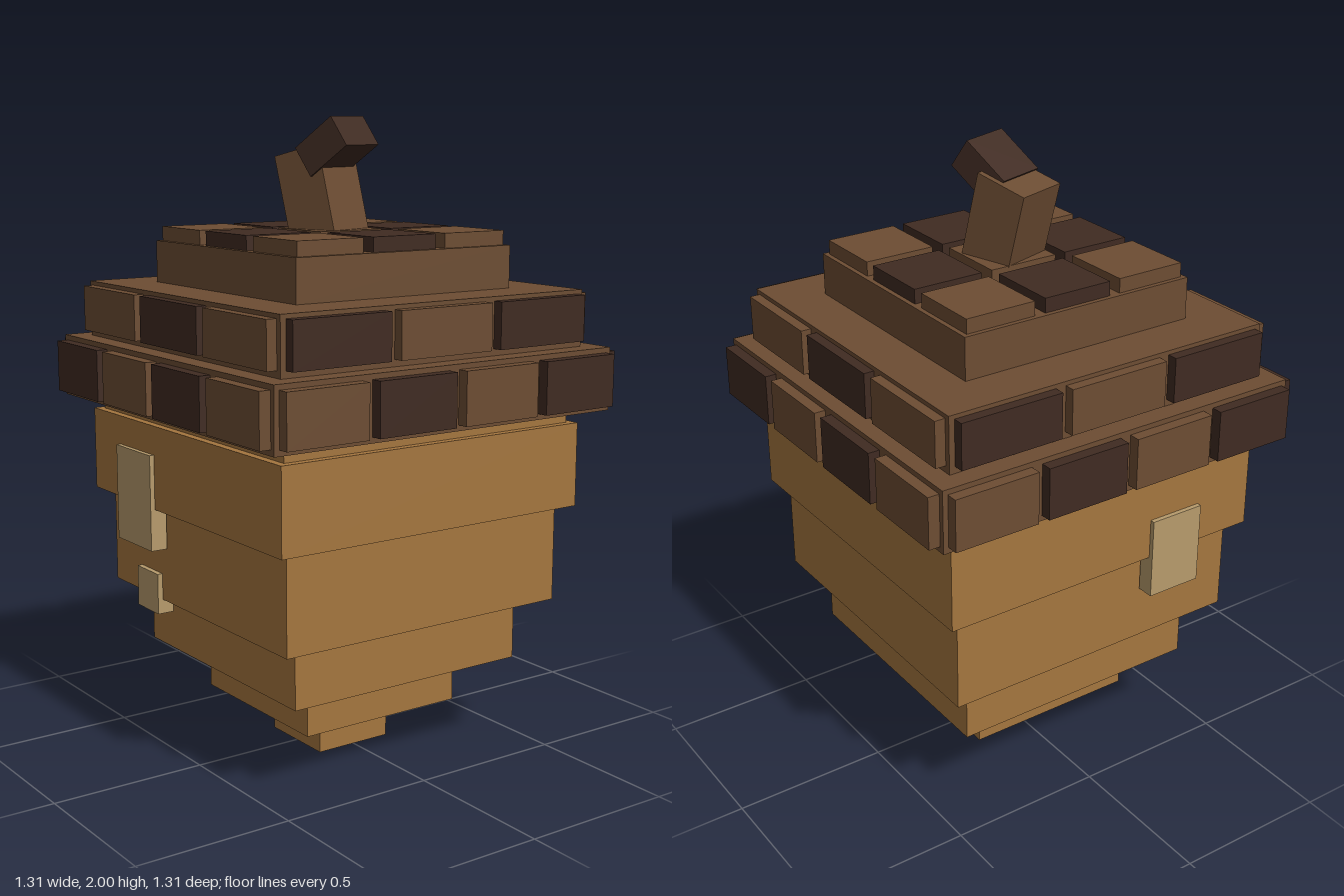
import * as THREE from 'three';

const material = (name, color) => {
  const m = new THREE.MeshStandardMaterial({ color });
  m.name = name;
  return m;
};

export function createModel() {
  const nut = material('nut tan', 0xa5763f);
  const bark = material('cap brown', 0x6d4d33);
  const dark = material('dark brown', 0x402b22);
  const pale = material('pale highlight', 0xb79b6c);

  const model = new THREE.Group();
  model.name = 'acorn';

  // Box given by its minimum and maximum corners
  function box(parent, name, mat, [x0, y0, z0], [x1, y1, z1]) {
    const mesh = new THREE.Mesh(new THREE.BoxGeometry(x1 - x0, y1 - y0, z1 - z0), mat);
    mesh.position.set((x0 + x1) / 2, (y0 + y1) / 2, (z0 + z1) / 2);
    mesh.name = name;
    parent.add(mesh);
    return mesh;
  }

  // Square tiers: half width, bottom, top
  const tiers = (name, mat, list) => list.forEach(([h, y0, y1], i) =>
    box(model, name + (i + 1), mat, [-h, y0, -h], [h, y1, h]));

  tiers('nutTier', nut, [
    [0.132, 0, 0.137], [0.285, 0.137, 0.292], [0.421, 0.292, 0.492],
    [0.507, 0.492, 0.8], [0.552, 0.8, 1.065], [0.527, 1.065, 1.108],
  ]);
  tiers('capTier', bark, [
    [0.617, 1.108, 1.304], [0.553, 1.304, 1.48], [0.396, 1.48, 1.612],
  ]);

  // Rows of alternating scales on the four sides of the cap
  function scaleRow(name, count, pitch, width, y0, y1, inner, outer, darkFirst) {
    for (let side = 0; side < 4; side++) {
      const group = new THREE.Group();
      group.name = name + (side + 1);
      group.rotation.y = side * Math.PI / 2;
      for (let i = 0; i < count; i++) {
        const x = (i - (count - 1) / 2) * pitch;
        const isDark = (i + side + (darkFirst ? 0 : 1)) % 2 === 0;
        box(group, 'scale', isDark ? dark : bark,
          [x - width / 2, y0, inner], [x + width / 2, y1, outer]);
      }
      model.add(group);
    }
  }
  scaleRow('lowerScales', 4, 0.309, 0.274, 1.126, 1.288, 0.6, 0.653, true);
  scaleRow('upperScales', 3, 0.368, 0.334, 1.325, 1.467, 0.535, 0.586, false);

  // Checkered scales on top of the cap
  for (let i = -1; i <= 1; i++) {
    for (let j = -1; j <= 1; j++) {
      const x = i * 0.266, z = j * 0.266, h = 0.115;
      box(model, 'topScale', (i + j) % 2 ? dark : bark,
        [x - h, 1.6, z - h], [x + h, 1.657, z + h]);
    }
  }

  // Pale highlights on the nut
  box(model, 'largeHighlight', pale, [-0.376, 0.668, 0.512], [-0.16, 0.973, 0.567]);
  box(model, 'smallHighlight', pale, [-0.333, 0.446, 0.47], [-0.202, 0.577, 0.524]);
  box(model, 'sideHighlight', pale, [-0.567, 0.668, 0.165], [-0.512, 0.93, 0.35]);

  // Crooked stem
  const stem = new THREE.Group();
  stem.name = 'stem';
  stem.rotation.y = 0.297;
  const base = new THREE.Mesh(new THREE.BoxGeometry(0.175, 0.3, 0.175), bark);
  base.name = 'stemBase';
  base.position.set(-0.029, 1.752, 0);
  base.rotation.z = 0.24;
  const tip = new THREE.Mesh(new THREE.BoxGeometry(0.168, 0.105, 0.163), dark);
  tip.name = 'stemTip';
  tip.position.set(0.037, 1.909, 0.013);
  tip.rotation.z = 0.61;
  stem.add(base, tip);
  model.add(stem);

  return model;
}
